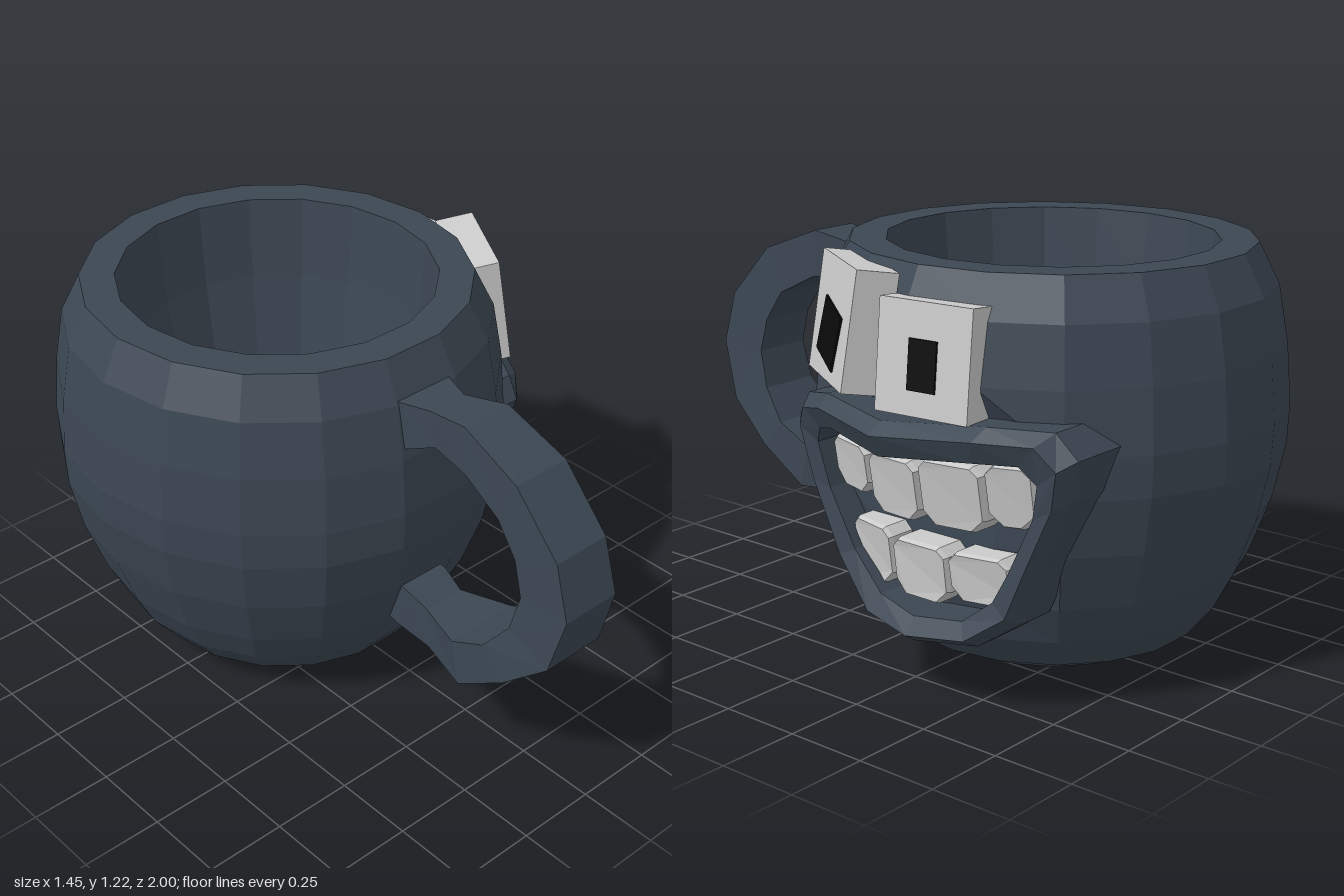
import * as THREE from 'three';

const CX = -0.04, CZ = -0.31; // axis of the mug
const MOUTH_X = 0.5;          // flat recess behind the teeth
const material = (color) => new THREE.MeshStandardMaterial({ color, flatShading: true });
const slate = material(0x3c4753), pale = material(0xcccccc), black = material(0x0a0a0a);
const { lerp, clamp } = THREE.MathUtils;

// Mug profile from the base up the outer wall, over the rim and down inside: [radius, height]
const profile = [[0, 0], [0.3, 0], [0.45, 0.07], [0.53, 0.17], [0.59, 0.29], [0.65, 0.46],
  [0.685, 0.63], [0.69, 0.75], [0.675, 0.93], [0.645, 1.1], [0.585, 1.22],
  [0.48, 1.22], [0.455, 0.96], [0.4, 0.62], [0.32, 0.36], [0, 0.36]];

const toPoints = (list) => list.map(([a, b]) => new THREE.Vector2(a, b));

function addMesh(parent, name, geometry, mat) {
  const mesh = new THREE.Mesh(geometry, mat);
  mesh.name = name;
  parent.add(mesh);
  return mesh;
}

// Skin over a row of closed cross-sections
function loft(rings, closed) {
  const n = rings[0].length, index = [];
  const last = closed ? rings.length : rings.length - 1;
  for (let i = 0; i < last; i++) {
    const k = (i + 1) % rings.length;
    for (let j = 0; j < n; j++) {
      const m = (j + 1) % n;
      index.push(i * n + j, i * n + m, k * n + m, i * n + j, k * n + m, k * n + j);
    }
  }
  const geo = new THREE.BufferGeometry();
  geo.setAttribute('position', new THREE.Float32BufferAttribute(rings.flat(2), 3));
  geo.setIndex(index);
  geo.computeVertexNormals();
  return geo;
}

// Lathed mug, flattened where the mouth sits
function bodyGeometry() {
  const geo = new THREE.LatheGeometry(toPoints(profile), 18, Math.PI / 18);
  const p = geo.attributes.position;
  for (let i = 0; i < p.count; i++) {
    const y = p.getY(i);
    let x = p.getX(i) + CX;
    if (y > 0.2 && y < 0.8) x = Math.min(x, MOUTH_X);
    p.setXYZ(i, x, y, p.getZ(i) * 1.02 + CZ);
  }
  geo.computeVertexNormals();
  return geo;
}

// Front of the lips: bulges in the middle and leans back towards the chin
function lipFront(z, y) {
  const bulge = Math.max(0, 1 - ((z + 0.35) / 0.45) ** 2);
  return lerp(0.53, 0.6, clamp((y - 0.35) / 0.4, 0, 1)) + 0.12 * bulge;
}

// Lips: a bevelled ring between two outlines given as [-z, y]
function lipGeometry() {
  const outer = [[-0.14, 0.73], [-0.1, 0.8], [0.03, 0.83], [0.28, 0.81], [0.62, 0.845],
    [0.79, 0.845], [0.86, 0.78], [0.83, 0.66], [0.74, 0.45], [0.68, 0.29], [0.55, 0.2],
    [0.34, 0.17], [0.17, 0.2], [0.02, 0.34], [-0.09, 0.56]];
  const inner = [[-0.04, 0.67], [-0.01, 0.72], [0.06, 0.74], [0.28, 0.71], [0.58, 0.745],
    [0.71, 0.75], [0.75, 0.7], [0.73, 0.6], [0.65, 0.43], [0.6, 0.34], [0.51, 0.27],
    [0.35, 0.25], [0.22, 0.28], [0.1, 0.38], [0, 0.54]];
  const rings = outer.map((o, i) => {
    const at = (t, x, drop) => {
      const z = -lerp(o[0], inner[i][0], t), y = lerp(o[1], inner[i][1], t);
      return [x ?? lipFront(z, y) - drop, y, z];
    };
    const back = lerp(0.48, 0.37, clamp((Math.abs(o[0] - 0.35) - 0.2) / 0.3, 0, 1));
    return [at(0, back), at(0, null, 0.045), at(0.35, null, 0), at(1, null, 0.03), at(1, MOUTH_X - 0.05)];
  });
  return loft(rings, true);
}

// Tooth with cut corners, its front following the lips
function toothGeometry(x0, x1, y0, y1, cutTop, cutBottom) {
  const shape = new THREE.Shape(toPoints([[x0 + cutBottom, y0], [x1 - cutBottom, y0],
    [x1, y0 + cutBottom], [x1, y1 - cutTop], [x1 - cutTop, y1], [x0 + cutTop, y1],
    [x0, y1 - cutTop], [x0, y0 + cutBottom]]));
  const geo = new THREE.ExtrudeGeometry(shape, {
    depth: 0.8, bevelThickness: 0.1, bevelSize: 0.006, bevelOffset: -0.006, bevelSegments: 1,
  });
  geo.rotateY(Math.PI / 2);
  const p = geo.attributes.position;
  for (let i = 0; i < p.count; i++) {
    const front = lipFront(p.getZ(i), p.getY(i)) - 0.065;
    p.setX(i, lerp(MOUTH_X - 0.06, front, p.getX(i) + 0.1));
  }
  geo.computeVertexNormals();
  return geo;
}

// Handle loop: [outer z, outer y, inner z, inner y, half width]
function handleGeometry() {
  const sections = [[0.2, 1.1, 0.2, 0.92, 0.11], [0.33, 1.11, 0.35, 0.96, 0.1],
    [0.43, 1.11, 0.45, 1, 0.065], [0.58, 1.14, 0.59, 0.99, 0.085], [0.79, 1.06, 0.73, 0.92, 0.096],
    [0.95, 0.89, 0.8, 0.82, 0.096], [1, 0.72, 0.83, 0.71, 0.098], [0.95, 0.53, 0.8, 0.59, 0.105],
    [0.8, 0.4, 0.72, 0.49, 0.123], [0.63, 0.29, 0.6, 0.43, 0.123], [0.45, 0.29, 0.44, 0.425, 0.07],
    [0.33, 0.31, 0.37, 0.455, 0.08], [0.2, 0.34, 0.2, 0.5, 0.08]];
  return loft(sections.map(([oz, oy, iz, iy, w]) => [
    [w - 0.05, iy, iz], [w - 0.05, oy, oz], [-w - 0.05, oy, oz], [-w - 0.05, iy, iz],
  ]), false);
}

// Eye: leaning block with a dark square pupil on its outer side
function makeEye(name, size, pos, yaw, lean, pupilSize, pupilDrop, twist) {
  const eye = new THREE.Group();
  eye.name = name;
  addMesh(eye, 'eyeBlock', new THREE.BoxGeometry(...size), pale);
  const pupil = addMesh(eye, 'pupil', new THREE.BoxGeometry(0.012, ...pupilSize), black);
  pupil.position.set(size[0] / 2, -pupilDrop, 0);
  pupil.rotation.x = twist;
  eye.position.set(...pos);
  eye.rotation.set(0, yaw, lean, 'YXZ');
  return eye;
}

export function createModel() {
  const model = new THREE.Group();
  model.name = 'faceMug';

  addMesh(model, 'body', bodyGeometry(), slate);
  addMesh(model, 'handle', handleGeometry(), slate);
  addMesh(model, 'lips', lipGeometry(), slate);

  // Teeth, as ranges along the face and in height
  const teeth = new THREE.Group();
  teeth.name = 'teeth';
  const upper = [[0.01, 0.18, 0.555, 0.705], [0.19, 0.375, 0.52, 0.7],
    [0.385, 0.58, 0.525, 0.72], [0.59, 0.72, 0.555, 0.735]];
  const lower = [[0.065, 0.24, 0.295, 0.47], [0.247, 0.442, 0.285, 0.455], [0.448, 0.63, 0.31, 0.455]];
  for (const t of upper) addMesh(teeth, 'upperTooth', toothGeometry(...t, 0.025, 0.04), pale);
  for (const t of lower) addMesh(teeth, 'lowerTooth', toothGeometry(...t, 0.025, 0.04), pale);
  model.add(teeth);

  model.add(
    makeEye('largeEye', [0.12, 0.34, 0.34], [0.56, 1.035, -0.08], -0.54, 0.15, [0.16, 0.17], 0.04, -0.2),
    makeEye('smallEye', [0.12, 0.31, 0.3], [0.59, 0.987, -0.41], 0.1, 0.1, [0.14, 0.09], 0.015, 0),
  );
  return model;
}
